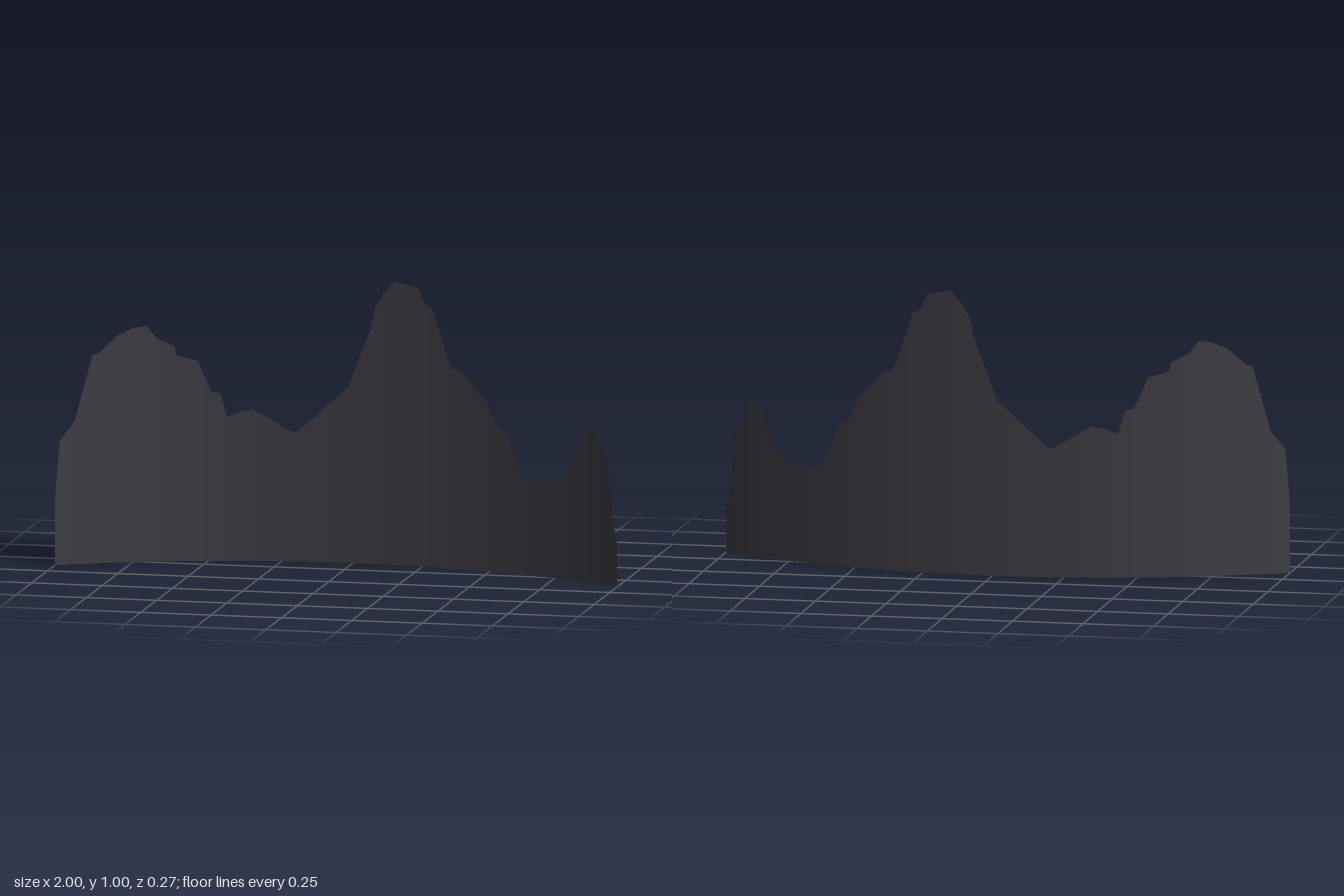
import * as THREE from 'three';

const RADIUS = 2; // the sheet is a 60 degree arc, hollow side to the front
const Z_BACK = -0.134;

// Ridge line as [x, height]
const ridge = [
  [-1, 0.23], [-0.985, 0.435], [-0.937, 0.505], [-0.88, 0.735], [-0.86, 0.74],
  [-0.8, 0.8], [-0.745, 0.825], [-0.705, 0.83], [-0.67, 0.785], [-0.612, 0.757],
  [-0.607, 0.725], [-0.535, 0.705], [-0.52, 0.665], [-0.488, 0.595], [-0.46, 0.59],
  [-0.436, 0.507], [-0.39, 0.525], [-0.347, 0.533], [-0.203, 0.45], [-0.015, 0.62],
  [0.01, 0.69], [0.06, 0.82], [0.082, 0.91], [0.11, 0.955], [0.15, 1],
  [0.195, 0.99], [0.235, 0.98], [0.26, 0.925], [0.287, 0.91], [0.345, 0.74],
  [0.362, 0.705], [0.395, 0.695], [0.49, 0.595], [0.523, 0.522], [0.55, 0.508],
  [0.575, 0.465], [0.615, 0.367], [0.62, 0.35], [0.675, 0.33], [0.725, 0.341],
  [0.742, 0.354], [0.76, 0.342], [0.81, 0.4], [0.855, 0.505], [0.88, 0.545],
  [0.912, 0.548], [0.938, 0.47], [0.962, 0.435], [0.98, 0.23], [1, 0.155],
];

// Curved sheet: one column from the ground to the ridge at each step
function ridgeSheet(profile) {
  const positions = [], normals = [], index = [];
  const addColumn = (x, height) => {
    const depth = Math.sqrt(RADIUS * RADIUS - x * x);
    const z = Z_BACK + RADIUS - depth;
    positions.push(x, 0, z, x, height, z);
    for (let i = 0; i < 2; i++) normals.push(-x / RADIUS, 0, depth / RADIUS);
  };
  profile.forEach(([x, y], i) => {
    if (i > 0) {
      // Split wide spans so that the arc stays smooth
      const [px, py] = profile[i - 1];
      const steps = Math.ceil((x - px) / 0.04);
      for (let s = 1; s < steps; s++) {
        const t = s / steps;
        addColumn(px + (x - px) * t, py + (y - py) * t);
      }
    }
    addColumn(x, y);
  });
  for (let a = 0; a + 3 < positions.length / 3; a += 2) {
    index.push(a, a + 2, a + 3, a, a + 3, a + 1);
  }
  const geometry = new THREE.BufferGeometry();
  geometry.setAttribute('position', new THREE.Float32BufferAttribute(positions, 3));
  geometry.setAttribute('normal', new THREE.Float32BufferAttribute(normals, 3));
  geometry.setIndex(index);
  return geometry;
}

export function createModel() {
  const rock = new THREE.MeshStandardMaterial({ color: 0x3d3b42, side: THREE.DoubleSide });
  rock.name = 'dark rock grey';

  const mountains = new THREE.Mesh(ridgeSheet(ridge), rock);
  mountains.name = 'mountainRidge';

  const model = new THREE.Group();
  model.name = 'mountainBackdrop';
  model.add(mountains);
  return model;
}
